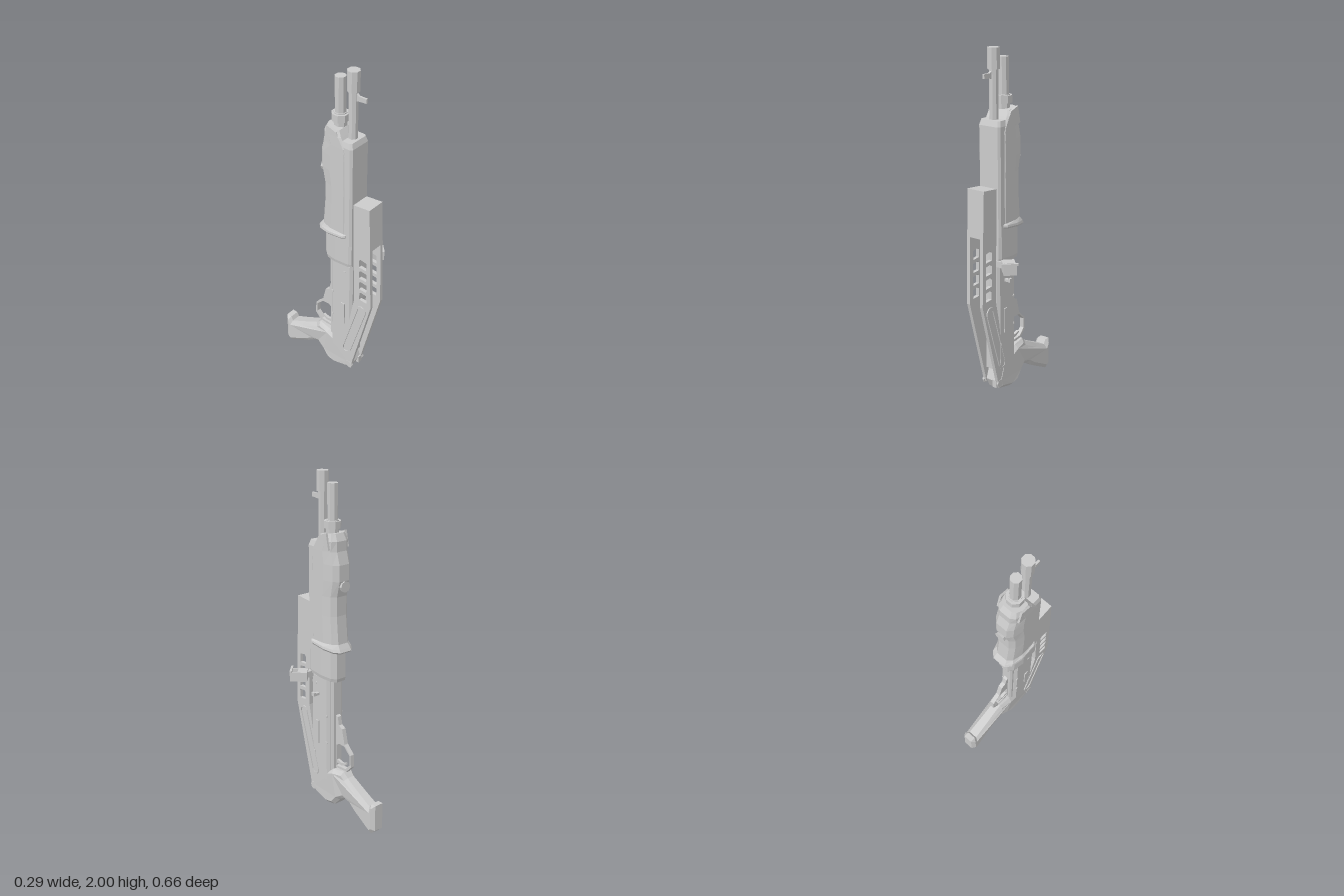
import * as THREE from 'three';

const CX = -0.05; // centre plane of the body
const mat = new THREE.MeshStandardMaterial({ color: 0xcccccc, flatShading: true, side: THREE.DoubleSide });

export function createModel() {
  const root = new THREE.Group();

  const add = (name, geo, x = 0, y = 0, z = 0) => {
    const m = new THREE.Mesh(geo, mat);
    m.name = name;
    m.position.set(x, y, z);
    root.add(m);
    return m;
  };
  const box = (name, w, h, d, x, y, z) => add(name, new THREE.BoxGeometry(w, h, d), x, y, z);
  const toVec = ([z, y]) => new THREE.Vector2(-z, y);

  // Side profile of [z, y] points, extruded along x and centred on x
  const slabGeo = (pts, width, bevel = 0, holes = []) => {
    const shape = new THREE.Shape(pts.map(toVec));
    holes.forEach((h) => shape.holes.push(new THREE.Path(h.map(toVec))));
    const geo = new THREE.ExtrudeGeometry(shape, {
      depth: width - 2 * bevel, bevelEnabled: bevel > 0, bevelThickness: bevel,
      bevelSize: bevel, bevelOffset: -bevel, bevelSegments: 1,
    });
    geo.translate(0, 0, bevel - width / 2);
    geo.rotateY(Math.PI / 2);
    return geo;
  };
  const slab = (name, pts, width, bevel, holes, x = CX) => add(name, slabGeo(pts, width, bevel, holes), x);

  // Upright eight-sided tube
  const tube = (name, r, y0, y1, z, sides = 8) => {
    const geo = new THREE.CylinderGeometry(r, r, y1 - y0, sides, 1, false, Math.PI / sides);
    return add(name, geo, CX, (y0 + y1) / 2, z);
  };
  // Disc facing sideways
  const disc = (name, r, len, x, y, z) => {
    const geo = new THREE.CylinderGeometry(r, r, len, 8);
    geo.rotateZ(Math.PI / 2);
    return add(name, geo, x, y, z);
  };

  // Loft of rings [y, half width, front z, back z, tilt]
  const loft = (name, rings) => {
    const section = [[1, 0.45], [1, 0.92], [0.85, 1], [-0.85, 1], [-1, 0.92], [-1, 0.45],
      [-0.8, 0.14], [-0.45, 0], [0.45, 0], [0.8, 0.14]];
    const n = section.length, pos = [], idx = [];
    rings.forEach(([y, hw, zf, zb, tilt = 0]) => section.forEach(([u, v]) => {
      const z = zb + (zf - zb) * v;
      pos.push(u * hw, y + tilt * v, z);
    }));
    for (let i = 0; i < rings.length - 1; i++) for (let j = 0; j < n; j++) {
      const a = i * n + j, b = i * n + (j + 1) % n;
      idx.push(a, a + n, b, b, a + n, b + n);
    }
    const top = (rings.length - 1) * n;
    for (let j = 1; j < n - 1; j++) {
      idx.push(0, j, j + 1, top, top + j + 1, top + j);
    }
    const geo = new THREE.BufferGeometry();
    geo.setAttribute('position', new THREE.Float32BufferAttribute(pos, 3));
    geo.setIndex(idx);
    geo.computeVertexNormals();
    return add(name, geo, CX);
  };

  // Barrel, magazine tube and front sight
  tube('barrel', 0.025, 0.85, 1.9, 0.152);
  tube('muzzle', 0.034, 1.89, 2.0, 0.152);
  tube('magazineTube', 0.03, 0.85, 1.945, 0.07);
  tube('magazineCollar', 0.036, 1.66, 1.75, 0.07);
  tube('magazineNut', 0.048, 1.705, 1.745, 0.07);
  slab('frontSight', [[0.17, 1.84], [0.17, 1.885], [0.19, 1.872], [0.236, 1.872], [0.236, 1.848], [0.19, 1.845]], 0.012);

  // Shield over the barrel and the block at its lower end
  loft('heatShield', [[1.0, 0.07, 0.2, 0.05], [1.6, 0.07, 0.2, 0.05], [1.63, 0.062, 0.19, 0.06]]);
  loft('frontBlock', [[0.84, 0.066, 0.2, 0.0, 0.02], [0.86, 0.07, 0.2, -0.005, 0.02], [1.05, 0.07, 0.2, -0.005]]);

  // Sliding foregrip with flared lower lip
  loft('foregrip', [
    [1.02, 0.08, 0.165, -0.035, 0.025], [1.03, 0.087, 0.168, -0.044, 0.025], [1.045, 0.085, 0.168, -0.035, 0.02],
    [1.07, 0.074, 0.165, -0.018], [1.23, 0.074, 0.165, -0.004], [1.34, 0.074, 0.165, -0.006],
    [1.43, 0.074, 0.165, -0.027], [1.52, 0.074, 0.165, -0.026], [1.59, 0.074, 0.16, -0.006],
    [1.645, 0.073, 0.125, -0.005], [1.685, 0.06, 0.105, 0.015, -0.01],
  ]);
  const button = add('foregripButton', new THREE.CylinderGeometry(0.028, 0.032, 0.02, 8), CX, 1.4, -0.028);
  button.rotation.x = Math.PI / 2;
  for (const s of [-1, 1]) {
    slab('foregripEar', [[0.16, 1.56], [0.118, 1.635], [0.1, 1.67], [0.04, 1.69], [0.02, 1.6]], 0.012, 0, [], CX + s * 0.067);
  }

  // Receiver with lower rail, port and small controls
  slab('receiver', [[0.196, 0.2], [0.196, 0.86], [0.045, 0.86], [0.045, 0.2]], 0.11, 0.014);
  slab('receiverRail', [[0.06, 0.25], [0.06, 0.85], [0.024, 0.85], [0.024, 0.25]], 0.076, 0.01);
  for (const s of [-1, 1]) {
    box('sideSlot', 0.008, 0.145, 0.026, CX + s * 0.057, 0.497, 0.138);
    for (const [y, z] of [[0.8, 0.15], [0.62, 0.06], [0.45, 0.06], [0.36, 0.17]]) {
      disc('pin', 0.008, 0.006, CX + s * 0.056, y, z);
    }
  }
  box('boltHandle', 0.045, 0.014, 0.02, 0.022, 0.738, 0.134);
  box('boltHandleTip', 0.012, 0.02, 0.024, 0.038, 0.742, 0.134);

  // Pistol grip: bevelled profile, narrowed at the neck
  const gripGeo = slabGeo([
    [0.2, 0.13], [0.175, 0.077], [0.07, 0.05], [0.01, 0.06], [-0.03, 0.107], [-0.068, 0.13], [-0.115, 0.113],
    [-0.16, 0.08], [-0.3, 0.005], [-0.332, 0.035], [-0.332, 0.195], [-0.298, 0.195], [-0.285, 0.17],
    [-0.2, 0.212], [-0.09, 0.27], [-0.06, 0.3], [0.02, 0.29], [0.11, 0.25], [0.15, 0.27],
  ], 0.11, 0.022);
  const gp = gripGeo.attributes.position;
  for (let i = 0; i < gp.count; i++) {
    const z = gp.getZ(i);
    const k = z > 0 ? 1 : z > -0.09 ? 1 + z * 3.5 : 0.685 + (-z - 0.09) * 0.65;
    gp.setX(i, gp.getX(i) * k);
  }
  gripGeo.computeVertexNormals();
  add('pistolGrip', gripGeo, CX);

  // Trigger guard and trigger
  slab('triggerGuard', [
    [0.03, 0.63], [0.01, 0.62], [0, 0.57], [-0.028, 0.555], [-0.05, 0.465], [-0.102, 0.415], [-0.106, 0.34],
    [-0.065, 0.295], [0.03, 0.295],
  ], 0.026, 0, [[
    [0.02, 0.44], [-0.005, 0.455], [-0.05, 0.452], [-0.094, 0.408], [-0.094, 0.35], [-0.058, 0.312], [0.02, 0.308],
  ]]);
  slab('trigger', [[0.03, 0.345], [-0.02, 0.335], [-0.052, 0.345], [-0.055, 0.335], [-0.02, 0.318], [0.03, 0.322]], 0.016);

  // Folded stock: solid end pad, two pierced side arms and the channel floor
  const SX = -0.052;
  slab('stockPad', [[0.31, 1.283], [0.205, 1.272], [0.208, 1.02], [0.321, 1.02]], 0.108, 0, [], SX);
  const holes = [0.885, 0.81, 0.735, 0.66].map((y, i) => {
    const z = 0.248 + i * 0.002;
    return [[z, y], [z + 0.05, y - 0.002], [z + 0.05, y + 0.05], [z + 0.01, y + 0.055], [z, y + 0.045]];
  });
  const arm = [[0.321, 1.02], [0.208, 1.02], [0.214, 0.8], [0.218, 0.64], [0.145, 0.27], [0.16, 0.12],
    [0.2, 0.11], [0.21, 0.16], [0.333, 0.635]];
  // Rounded strip running down each arm
  const strip = (r) => {
    const a = [0.27, 0.585], b = [0.165, 0.24], t = Math.atan2(b[1] - a[1], b[0] - a[0]), pts = [];
    for (let i = 0; i < 12; i++) {
      const c = i < 6 ? a : b;
      const ang = t + Math.PI / 2 + (i < 6 ? i : i - 1) * Math.PI / 5;
      pts.push([c[0] + r * Math.cos(ang), c[1] + r * Math.sin(ang)]);
    }
    return pts;
  };
  for (const s of [-1, 1]) {
    slab('stockArm', arm, 0.02, 0, holes, SX + s * 0.044);
    slab('stockArmRim', strip(0.032), 0.008, 0, [strip(0.021)], SX + s * 0.056);
    disc('stockPivot', 0.024, 0.012, SX + s * 0.05, 0.12, 0.185);
  }
  slab('stockFloor', [[0.228, 1.02], [0.208, 1.02], [0.218, 0.64], [0.145, 0.22], [0.17, 0.22], [0.238, 0.64]],
    0.07, 0, [], SX);
  box('stockLatch', 0.028, 0.045, 0.02, -0.025, 0.115, 0.195);

  // Swivel hook on the left side: block with a square open frame, turned 45 degrees
  const hook = new THREE.Group();
  hook.name = 'stockHook';
  const frame = new THREE.Shape([[0, -0.035], [0.098, -0.035], [0.098, 0.035], [0, 0.035]].map((p) => new THREE.Vector2(...p)));
  frame.holes.push(new THREE.Path([[0.055, -0.024], [0.09, -0.024], [0.09, 0.026], [0.055, 0.026]].map((p) => new THREE.Vector2(...p))));
  const frameGeo = new THREE.ExtrudeGeometry(frame, { depth: 0.055, bevelEnabled: false });
  frameGeo.rotateX(Math.PI / 2);
  hook.add(new THREE.Mesh(frameGeo, mat));
  const lip = new THREE.Mesh(new THREE.BoxGeometry(0.012, 0.012, 0.09), mat);
  lip.position.set(0.092, 0.004, 0);
  hook.add(lip);
  hook.position.set(0.05, 0.878, 0.172);
  hook.rotation.y = -Math.PI / 4;
  root.add(hook);
  box('hookMount', 0.06, 0.035, 0.03, 0.025, 0.85, 0.19);

  return root;
}
